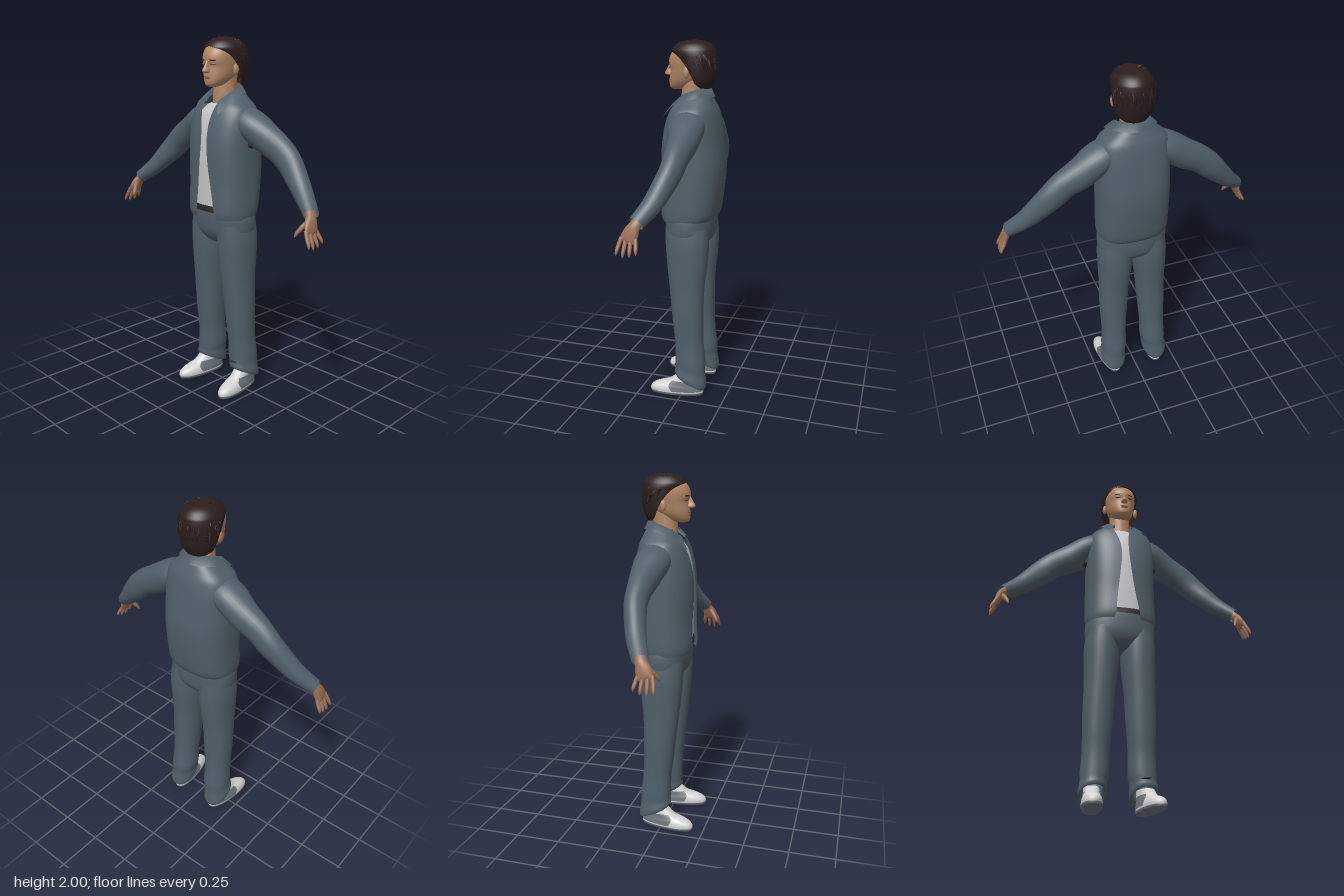
import * as THREE from 'three';

const mat = (name, color, side = THREE.FrontSide) => {
  const m = new THREE.MeshStandardMaterial({ color, side });
  m.name = name;
  return m;
};
const V = (x, y, z) => new THREE.Vector3(x, y, z);

// Skin of quads over rows of points; a closed surface joins each row end to its start
function surface(rows, closed) {
  const n = rows[0].length, pos = rows.flat().flatMap(p => [p.x, p.y, p.z]), idx = [];
  for (let i = 0; i < rows.length - 1; i++) {
    for (let j = 0; j < (closed ? n : n - 1); j++) {
      const k = (j + 1) % n, a = i * n + j, b = i * n + k;
      idx.push(a, b, b + n, a, b + n, a + n);
    }
  }
  const g = new THREE.BufferGeometry();
  g.setAttribute('position', new THREE.Float32BufferAttribute(pos, 3));
  g.setIndex(idx);
  g.computeVertexNormals();
  return g;
}

// Smooth in-between sections
function refine(s, k) {
  const out = [];
  for (let i = 0; i < s.length - 1; i++) {
    const [a, b, c, d] = [s[Math.max(i - 1, 0)], s[i], s[i + 1], s[Math.min(i + 2, s.length - 1)]];
    for (let j = 0; j < k; j++) {
      const t = j / k;
      out.push(b.map((v, q) => v + 0.5 * t * (c[q] - a[q] + t * (2 * a[q] - 5 * v + 4 * c[q] - d[q]
        + t * (3 * (v - c[q]) + d[q] - a[q])))));
    }
  }
  out.push(s[s.length - 1]);
  return out;
}

// Level rings, bottom to top: [x, y, z, rx, rz, gap on +x side, gap on -x side, tilt]
function rings(sections, { open = false, e = 1, n = 36, k = 4 } = {}) {
  const pw = v => Math.sign(v) * Math.abs(v) ** e;
  const full = sections.map(s => Array.from({ length: 8 }, (_, q) => s[q] ?? 0));
  const rows = refine(full, k).map(([x, y, z, rx, rz, g0, g1, tilt]) =>
    Array.from({ length: n }, (_, j) => {
      const t = open ? g0 + (2 * Math.PI - g0 - g1) * j / (n - 1) : 2 * Math.PI * j / n;
      return V(x + rx * pw(Math.sin(t)), y + tilt * Math.cos(t), z + rz * pw(Math.cos(t)));
    }));
  return surface(rows, !open);
}

// Rings square to a path: [x, y, z, height radius, depth radius]
function limb(sections, side, n = 20, k = 4) {
  const s = refine(sections, k), p = s.map(q => V(q[0] * side, q[1], q[2]));
  return surface(s.map((q, i) => {
    const T = p[Math.min(i + 1, p.length - 1)].clone().sub(p[Math.max(i - 1, 0)]).normalize();
    const B = V(0, 0, 1).addScaledVector(T, -T.z).normalize(), A = T.clone().cross(B);
    return Array.from({ length: n }, (_, j) => {
      const t = 2 * Math.PI * j / n;
      return p[i].clone().addScaledVector(B, q[4] * Math.cos(t)).addScaledVector(A, q[3] * Math.sin(t));
    });
  }), true);
}

export function createModel() {
  const root = new THREE.Group();
  const skin = mat('skin', 0xb08564), handSkin = mat('hand skin', 0x9a6f55), lip = mat('lip', 0x925f4c);
  const hair = mat('hair', 0x2c1e1c, THREE.DoubleSide), denim = mat('denim', 0x515f69, THREE.DoubleSide);
  const white = mat('shirt white', 0xc6c6c8), shoeWhite = mat('shoe white', 0xd2d2d2);
  const grey = mat('shoe grey', 0x6c757d), dark = mat('dark leather', 0x2a2326);
  const add = (name, geo, m, parent = root) => {
    const mesh = new THREE.Mesh(geo, m);
    mesh.name = name;
    parent.add(mesh);
    return mesh;
  };
  const ball = (name, m, p, s) => {
    const b = add(name, new THREE.SphereGeometry(1, 16, 10), m);
    b.position.set(...p);
    b.scale.set(...s);
    return b;
  };

  // Jacket body: [y, rx, front z, back z, opening edge on +x, on -x]
  const e = 0.8, edge = (g, rx) => Math.asin((g / rx) ** (1 / e));
  add('jacket', rings([
    [1.025, 0.193, 0.142, -0.14, 0.088, 0.06], [1.07, 0.2, 0.152, -0.165, 0.08, 0.053],
    [1.2, 0.2, 0.148, -0.184, 0.055, 0.042], [1.33, 0.2, 0.15, -0.193, 0.035, 0.028],
    [1.45, 0.2, 0.144, -0.18, 0.023, 0.02], [1.55, 0.198, 0.125, -0.165, 0.023, 0.035],
    [1.62, 0.182, 0.1, -0.15, 0.035, 0.058], [1.66, 0.14, 0.075, -0.135, 0.045, 0.06],
    [1.7, 0.09, 0.05, -0.118, 0.05, 0.06],
  ].map(([y, rx, f, b, l, r]) => [0, y, (f + b) / 2, rx, (f - b) / 2, edge(l, rx), edge(r, rx)]),
  { open: true, e, n: 56 }), denim);

  // Folded collar with two points
  const curve = half => new THREE.CatmullRomCurve3([...half,
    ...half.slice(0, -1).reverse().map(([x, y, z]) => [-x, y, z])].map(p => V(...p))).getPoints(40);
  add('collar', surface([
    curve([[0.09, 1.595, 0.127], [0.13, 1.662, 0.045], [0.12, 1.692, -0.06], [0, 1.697, -0.137]]),
    curve([[0.05, 1.662, 0.085], [0.085, 1.708, 0.02], [0.08, 1.738, -0.06], [0, 1.747, -0.112]]),
    curve([[0.047, 1.65, 0.075], [0.075, 1.68, 0.015], [0.07, 1.69, -0.055], [0, 1.69, -0.1]]),
  ], false), denim);

  add('shirt', rings([
    [0, 1.085, -0.01, 0.18, 0.138], [0, 1.3, -0.02, 0.18, 0.15], [0, 1.47, -0.02, 0.175, 0.144],
    [0, 1.57, -0.02, 0.16, 0.124], [0, 1.62, -0.02, 0.11, 0.1], [0, 1.645, -0.015, 0.07, 0.075],
    [0, 1.64, -0.015, 0.06, 0.06],
  ], { e }), white);
  add('belt', rings([[0, 1.06, -0.008, 0.187, 0.143], [0, 1.092, -0.008, 0.187, 0.142],
    [0, 1.093, -0.008, 0.17, 0.125]], { e, k: 1 }), dark);

  // Trousers
  add('hips', rings([
    [0, 0.862, -0.015, 0, 0], [0, 0.872, -0.015, 0.1, 0.07], [0, 0.91, -0.013, 0.175, 0.112],
    [0, 0.96, -0.01, 0.197, 0.13], [0, 1.03, -0.008, 0.197, 0.136], [0, 1.075, -0.008, 0.183, 0.136],
  ], { e: 0.85 }), denim);

  for (const side of [1, -1]) {
    const s = side > 0 ? 'left' : 'right';
    add(s + 'TrouserLeg', rings([
      [0.14, 0.11, -0.045, 0.055, 0.065, 0, 0, 0.04], [0.138, 0.082, -0.045, 0.068, 0.086, 0, 0, 0.043],
      [0.137, 0.105, -0.043, 0.075, 0.092, 0, 0, 0.035], [0.133, 0.15, -0.04, 0.071, 0.086, 0, 0, 0.012],
      [0.128, 0.2, -0.04, 0.076, 0.086], [0.125, 0.3, -0.033, 0.073, 0.081], [0.122, 0.4, -0.025, 0.077, 0.085],
      [0.119, 0.5, -0.02, 0.082, 0.09], [0.112, 0.65, -0.014, 0.086, 0.1], [0.105, 0.8, -0.014, 0.095, 0.116],
      [0.103, 0.9, -0.013, 0.097, 0.122], [0.1, 0.99, -0.01, 0.09, 0.12],
    ].map(([x, ...r]) => [x * side, ...r]), { e: 0.92 }), denim);

    // Sleeve
    add(s + 'Sleeve', limb([
      [0.08, 1.585, -0.03, 0.05, 0.08], [0.14, 1.56, -0.032, 0.076, 0.092], [0.2, 1.532, -0.036, 0.082, 0.096],
      [0.28, 1.478, -0.045, 0.084, 0.08], [0.38, 1.422, -0.045, 0.077, 0.064], [0.45, 1.362, -0.042, 0.073, 0.058],
      [0.52, 1.292, -0.02, 0.062, 0.055], [0.59, 1.222, 0.008, 0.05, 0.05], [0.675, 1.15, 0.055, 0.037, 0.042],
    ], side, 28), denim);
    ball(s + 'ArmpitTear', dark, [side * 0.203, 1.437, -0.02], [0.018, 0.022, 0.03]);

    // Hand, thumb forward
    const hand = new THREE.Group();
    hand.name = s + 'Hand';
    root.add(hand);
    add('palm', limb([
      [0.655, 1.168, 0.045, 0.022, 0.028], [0.678, 1.14, 0.06, 0.023, 0.03], [0.69, 1.11, 0.074, 0.021, 0.04],
      [0.7, 1.08, 0.084, 0.016, 0.044], [0.705, 1.065, 0.088, 0.01, 0.038], [0.709, 1.054, 0.091, 0, 0],
    ], side), handSkin, hand);
    for (let i = 0; i < 4; i++) {
      const z = 0.052 + i * 0.023, spread = (i - 1.5) * 0.006, drop = [0.05, 0.065, 0.07, 0.06][i];
      add('finger', limb([
        [0.698, 1.085, z, 0.011, 0.011], [0.714, 1.07 - drop * 0.35, z + spread, 0.0105, 0.0105],
        [0.727, 1.07 - drop * 0.75, z + spread * 1.5, 0.009, 0.009],
        [0.732, 1.07 - drop, z + spread * 1.8, 0.006, 0.006], [0.735, 1.06 - drop, z + spread * 2, 0, 0],
      ], side, 10, 3), handSkin, hand);
    }
    add('thumb', limb([
      [0.685, 1.125, 0.08, 0.014, 0.014], [0.665, 1.095, 0.108, 0.013, 0.013],
      [0.65, 1.068, 0.128, 0.01, 0.01], [0.644, 1.052, 0.136, 0.006, 0.006], [0.641, 1.043, 0.141, 0, 0],
    ], side, 10, 3), handSkin, hand);

    // Shoe, toe turned out
    const shoe = new THREE.Group();
    shoe.name = s + 'Shoe';
    shoe.position.set(side * 0.148, 0, 0);
    shoe.rotation.y = side * 0.13;
    root.add(shoe);
    add('sole', rings([[0, 0, 0.035, 0, 0], [0, 0, 0.035, 0.05, 0.152], [0, 0.014, 0.035, 0.055, 0.157],
      [0, 0.016, 0.035, 0.05, 0.15]], { e: 0.85, k: 1 }), grey, shoe);
    add('upper', rings([[0, 0.014, 0.035, 0.053, 0.155], [0, 0.03, 0.035, 0.054, 0.154],
      [0, 0.048, 0.028, 0.051, 0.144], [0, 0.063, 0.012, 0.046, 0.124], [0, 0.08, -0.015, 0.043, 0.095],
      [0, 0.12, -0.04, 0.042, 0.07]], { e: 0.88 }), shoeWhite, shoe);
    add('sidePanel', rings([[0, 0.024, 0.035, 0.056, 0.156, 1.45, 1.45], [0, 0.048, 0.028, 0.0535, 0.146, 1.3, 1.3],
      [0, 0.063, 0.012, 0.049, 0.126, 1.1, 1.1], [0, 0.085, -0.015, 0.046, 0.097, 0.8, 0.8]],
    { e: 0.88, open: true }), grey, shoe);

    // Ear, brow and closed eye
    ball(s + 'Ear', skin, [side * 0.096, 1.825, -0.005], [0.012, 0.03, 0.018]);
    const plate = (name, m, y, z, w, h) => {
      const b = ball(name, m, [side * 0.036, y, z], [w, h, 0.004]);
      b.rotation.y = side * 0.36;
    };
    plate(s + 'Eyebrow', hair, 1.873, 0.109, 0.021, 0.004);
    plate(s + 'EyeSocket', lip, 1.853, 0.1045, 0.016, 0.006);
    plate(s + 'EyeLine', dark, 1.85, 0.1065, 0.014, 0.002);
  }
  const tear = ball('trouserTear', dark, [0.13, 0.168, 0.046], [0.03, 0.005, 0.006]);
  tear.rotation.z = 0.08;

  // Neck and head
  add('neck', rings([[0, 1.6, -0.02, 0.075, 0.07], [0, 1.67, -0.015, 0.064, 0.064],
    [0, 1.74, -0.018, 0.06, 0.066], [0, 1.82, -0.025, 0.06, 0.07]]), skin);
  add('head', rings([
    [1.733, 0, 0.08, 0.08], [1.735, 0.022, 0.102, 0.04], [1.747, 0.044, 0.115, -0.01], [1.772, 0.063, 0.117, -0.05],
    [1.8, 0.075, 0.115, -0.085], [1.84, 0.083, 0.111, -0.105], [1.872, 0.087, 0.119, -0.115],
    [1.91, 0.088, 0.111, -0.12], [1.945, 0.08, 0.085, -0.11], [1.965, 0.05, 0.045, -0.08], [1.975, 0, -0.02, -0.02],
  ].map(([y, rx, f, b]) => [0, y, (f + b) / 2, rx, (f - b) / 2]), { e: 0.93 }), skin);
  add('nose', rings([[0, 1.806, 0.115, 0, 0], [0, 1.81, 0.117, 0.016, 0.021], [0, 1.82, 0.116, 0.018, 0.031],
    [0, 1.84, 0.112, 0.011, 0.024], [0, 1.87, 0.108, 0.008, 0.012]], { n: 14 }), skin);
  ball('upperLip', lip, [0, 1.787, 0.115], [0.025, 0.004, 0.006]);
  ball('lowerLip', lip, [0, 1.779, 0.115], [0.02, 0.0045, 0.006]);

  // Hair shell, open around the face, with short locks over it
  add('hair', rings([
    [1.74, 0.066, -0.052, 0.062, 2.0], [1.765, 0.09, -0.046, 0.08, 1.65], [1.8, 0.1, -0.043, 0.095, 1.5],
    [1.85, 0.106, -0.038, 0.105, 1.28], [1.9, 0.108, -0.03, 0.116, 0.98], [1.928, 0.106, -0.021, 0.122, 0.6],
    [1.945, 0.1, -0.02, 0.118, 0], [1.97, 0.08, -0.02, 0.096, 0], [1.986, 0.05, -0.022, 0.06, 0],
    [1.994, 0, -0.022, 0, 0],
  ].map(([y, rx, z, rz, g]) => [0, y, z, rx, rz, g, g]), { open: true, n: 44 }), hair);
  let seed = 7;
  const rnd = () => (seed = (seed * 16807) % 2147483647) / 2147483647;
  const locks = new THREE.Group();
  locks.name = 'hairLocks';
  root.add(locks);
  const lockGeo = new THREE.ConeGeometry(0.014, 0.06, 6);
  for (let i = 0; i < 110; i++) {
    const h = rnd() * 1.75 - 0.8, a = (h > 0.45 ? 0.1 : 1.5 - h) + rnd() * 1.5;
    const t = Math.min(a + rnd() * 0.6, Math.PI) * (i % 2 ? 1 : -1), r = Math.sqrt(1 - h * h);
    const out = V(Math.sin(t) * r, h, Math.cos(t) * r);
    const lock = add('lock', lockGeo, hair, locks);
    lock.position.set(out.x * 0.105, 1.872 + out.y * 0.118, -0.032 + out.z * 0.113);
    const dir = V(rnd() * 0.5 - 0.25, -1, -0.3).addScaledVector(out, 0.3 - V(0, -1, -0.3).dot(out)).normalize();
    lock.quaternion.setFromUnitVectors(V(0, 1, 0), dir);
  }
  return root;
}
